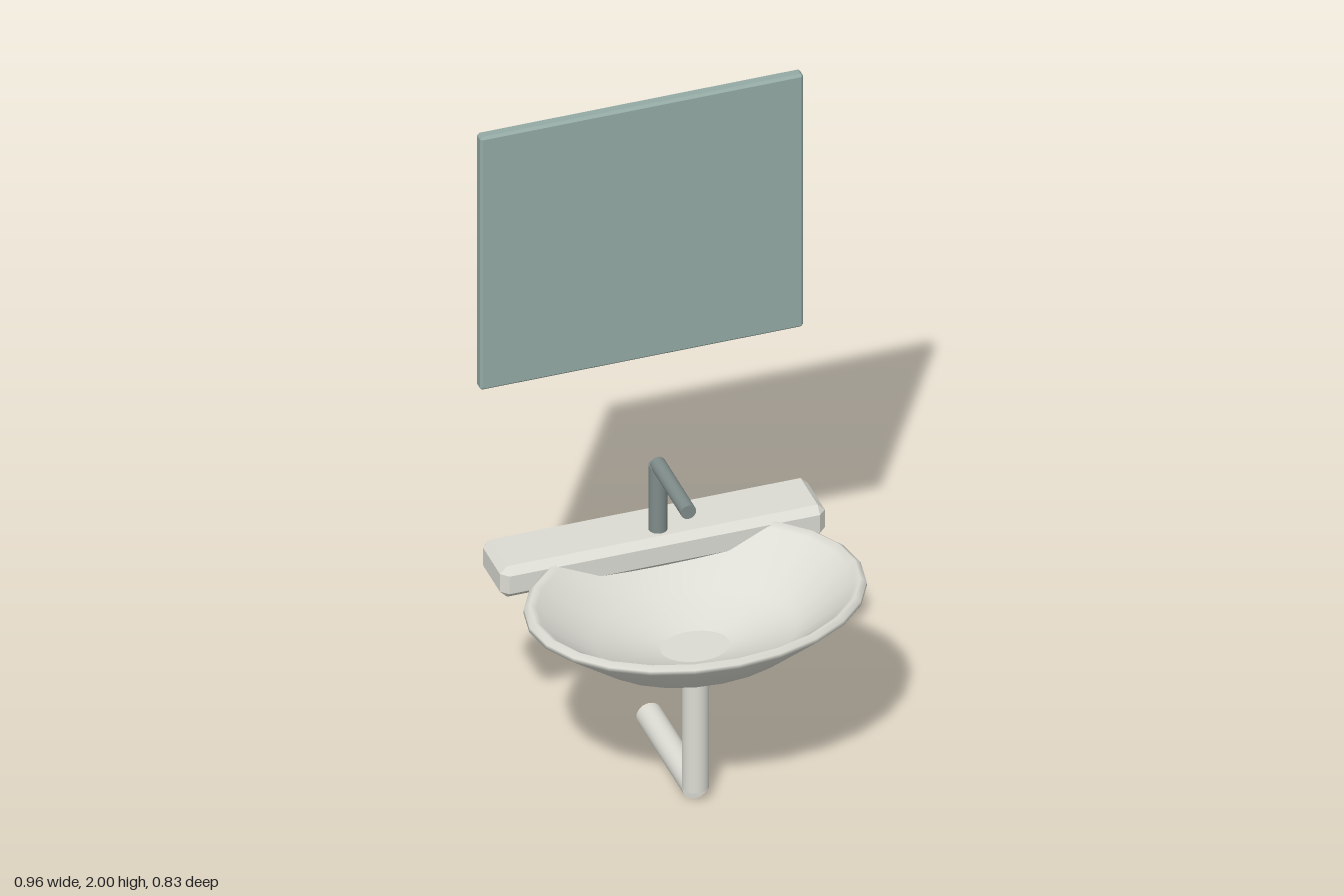
import * as THREE from 'three';
import { ConvexGeometry } from 'three/addons/geometries/ConvexGeometry.js';

const ceramic = new THREE.MeshStandardMaterial({ color: 0xdcdcd4 });
const glass = new THREE.MeshStandardMaterial({ color: 0x94aaa5 });
const metal = new THREE.MeshStandardMaterial({ color: 0x7f8c8a });

function add(group, name, geometry, material, x = 0, y = 0, z = 0) {
  const mesh = new THREE.Mesh(geometry, material);
  mesh.name = name;
  mesh.position.set(x, y, z);
  group.add(mesh);
  return mesh;
}

// Box with every edge and corner cut by c
function chamferedBox(w, h, d, c) {
  const points = [];
  for (const sx of [-1, 1]) for (const sy of [-1, 1]) for (const sz of [-1, 1]) {
    for (let axis = 0; axis < 3; axis++) {
      const half = [w / 2 - c, h / 2 - c, d / 2 - c];
      half[axis] += c;
      points.push(new THREE.Vector3(sx * half[0], sy * half[1], sz * half[2]));
    }
  }
  return new ConvexGeometry(points);
}

// Straight closed tube between two [y, z] points on the centre plane
function pipe(group, name, material, radius, [y0, z0], [y1, z1]) {
  const length = Math.hypot(y1 - y0, z1 - z0);
  const geometry = new THREE.CylinderGeometry(radius, radius, length, 24);
  const mesh = add(group, name, geometry, material, 0, (y0 + y1) / 2, (z0 + z1) / 2);
  mesh.rotation.x = Math.atan2(z1 - z0, y1 - y0);
}

// Oval shell: underside, rolled rim, inside
function bowlGeometry() {
  const profile = [
    [0.098, 0.488], [0.12, 0.468], [0.3, 0.52], [0.48, 0.655], [0.479, 0.668],
    [0.462, 0.68], [0.443, 0.668], [0.285, 0.545], [0.098, 0.5],
  ].map(([r, y]) => new THREE.Vector2(r, y));
  const geometry = new THREE.LatheGeometry(profile, 24);
  // Foot ring lifts slightly toward front and back
  const p = geometry.attributes.position;
  for (let i = 0; i < p.count; i++) {
    const r = Math.hypot(p.getX(i), p.getZ(i));
    if (r > 0.11 && r < 0.13) p.setY(i, p.getY(i) + 0.011 * (p.getZ(i) / r) ** 2);
  }
  geometry.computeVertexNormals();
  // Join the normals across the lathe seam
  const n = geometry.attributes.normal, rows = profile.length, last = p.count - rows;
  for (let j = 0; j < rows; j++) {
    const v = new THREE.Vector3().fromBufferAttribute(n, j);
    v.add(new THREE.Vector3().fromBufferAttribute(n, last + j)).normalize();
    n.setXYZ(j, v.x, v.y, v.z);
    n.setXYZ(last + j, v.x, v.y, v.z);
  }
  return geometry.scale(1, 1, 0.75);
}

export function createModel() {
  const model = new THREE.Group();
  model.name = 'washbasin';

  // Mirror and the ledge below it
  add(model, 'mirror', chamferedBox(0.935, 0.83, 0.036, 0.007), glass, 0, 1.585, -0.398);
  add(model, 'ledge', chamferedBox(0.94, 0.1, 0.18, 0.021), ceramic, 0, 0.645, -0.286);

  // Basin with a flat floor
  const basin = new THREE.Group();
  basin.name = 'basin';
  basin.position.z = 0.05;
  model.add(basin);
  add(basin, 'bowl', bowlGeometry(), ceramic);
  const floor = new THREE.CylinderGeometry(0.099, 0.099, 0.012, 24).scale(1, 1, 0.75);
  add(basin, 'bowlFloor', floor, ceramic, 0, 0.494, 0);

  // Tap
  const tap = new THREE.Group();
  tap.name = 'tap';
  model.add(tap);
  pipe(tap, 'tapRiser', metal, 0.026, [0.66, -0.253], [0.905, -0.253]);
  pipe(tap, 'tapSpout', metal, 0.022, [0.907, -0.255], [0.907, -0.003]);

  // Waste pipe
  const waste = new THREE.Group();
  waste.name = 'wastePipe';
  model.add(waste);
  pipe(waste, 'wasteDrop', ceramic, 0.037, [0.042, 0.052], [0.452, 0.052]);
  pipe(waste, 'wasteOutlet', ceramic, 0.037, [0.039, 0.052], [0.039, -0.325]);

  return model;
}
